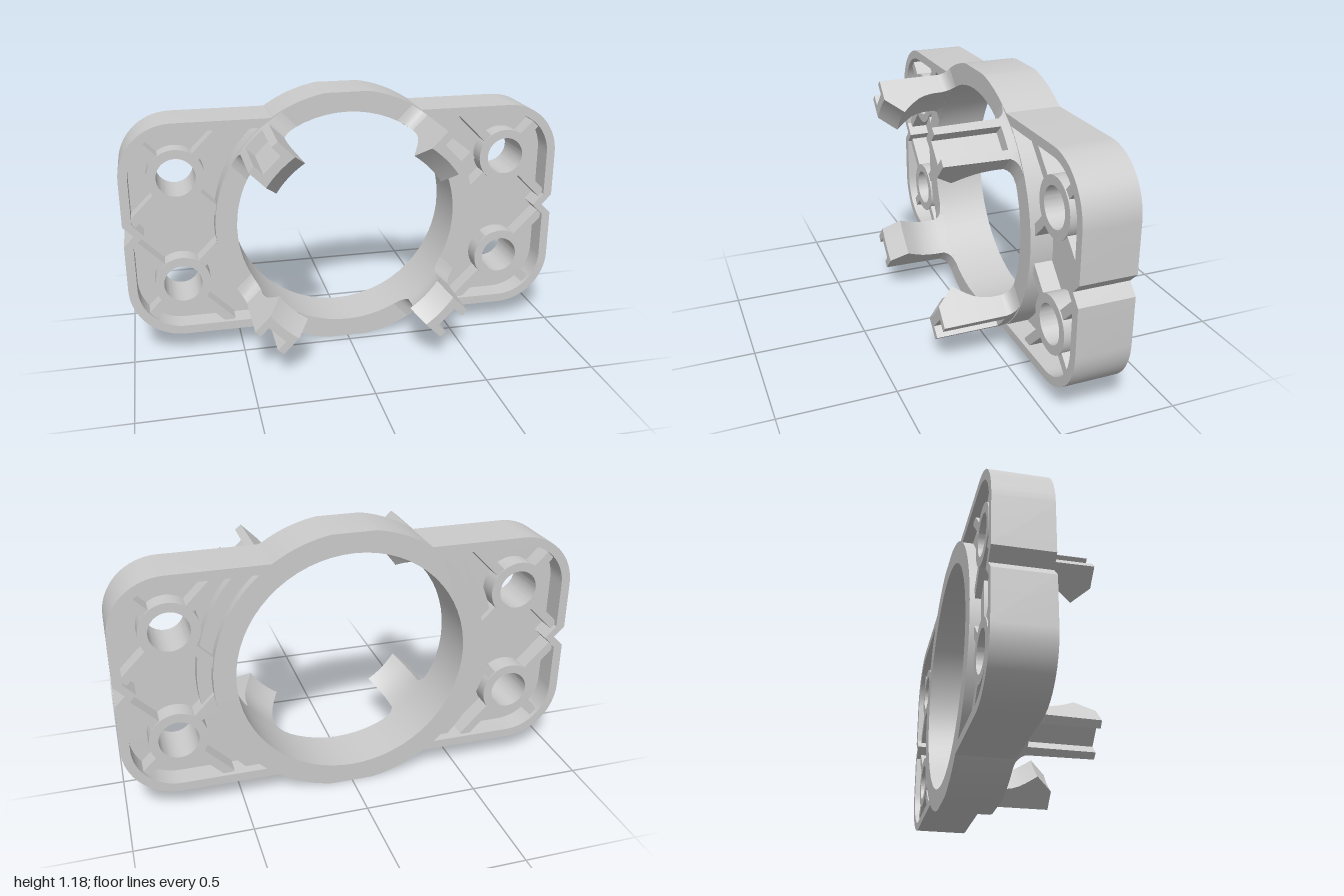
import * as THREE from 'three';
import { toCreasedNormals } from 'three/addons/utils/BufferGeometryUtils.js';

const material = new THREE.MeshStandardMaterial({ color: 0xcccccc });
const V = (x, y) => new THREE.Vector2(x, y);
const BACK = -0.28, FRONT = -0.04;        // depth range of the plate
const RING = 0.6, BORE = 0.505;           // ring radii
const BOSS_X = 0.757, BOSS_Y = 0.25;      // screw boss centre

function arc(cx, cy, r, a0, a1, n) {
  return Array.from({ length: n + 1 }, (_, i) => {
    const a = a0 + (a1 - a0) * i / n;
    return V(cx + r * Math.cos(a), cy + r * Math.sin(a));
  });
}
const circle = (x, y, r) => new THREE.Path(arc(x, y, r, 0, Math.PI * 2, 64).slice(0, -1));

function add(group, geometry, name) {
  const mesh = new THREE.Mesh(toCreasedNormals(geometry, 0.5), material);
  mesh.name = name;
  group.add(mesh);
  return mesh;
}

// extrude an outline between two depths
function slab(group, name, points, holes, z0, z1) {
  const shape = new THREE.Shape(points);
  shape.holes = holes;
  const geo = new THREE.ExtrudeGeometry(shape, { depth: z1 - z0, bevelEnabled: false });
  geo.translate(0, 0, z0);
  return add(group, geo, name);
}

// rounded plate merged with the flattened ring, V notch at each end
function outerOutline() {
  const quarter = [
    V(0.955, 0), V(1, 0.046),
    ...arc(0.76, 0.255, 0.24, 0, Math.PI / 2, 16),
    ...arc(0, 0, RING, Math.asin(0.495 / RING), Math.acos(0.095 / RING), 12),
  ];
  const upper = [...quarter, ...quarter.map(p => V(-p.x, p.y)).reverse()];
  return [...upper, ...upper.slice(1, -1).map(p => V(-p.x, -p.y))];
}

// recess between the rim and the ring on one side
function pocketOutline(side) {
  const upper = [
    V(0.91, 0), V(0.96, 0.052),
    ...arc(0.76, 0.255, 0.2, 0, Math.PI / 2, 16),
    ...arc(0, 0, RING, Math.asin(0.455 / RING), 0, 20),
  ];
  const all = [...upper, ...upper.slice(1, -1).map(p => V(p.x, -p.y)).reverse()];
  return all.map(p => V(side * p.x, p.y));
}

// clip cross-section: outer arc with a groove, then the inner arc; x is radial, y tangential
function clipSection(w, inner, grooved) {
  const outer = 0.596, floor = grooved ? 0.54 : null, g = 0.052;
  const on = (r, t) => V(Math.sqrt(r * r - t * t), t);
  const pts = [on(outer, -w), on(outer, -g)];
  for (const t of [-g, 0, g]) pts.push(floor ? V(floor, t) : on(outer, t * 0.99));
  pts.push(on(outer, g), on(outer, w));
  for (let i = 0; i <= 8; i++) pts.push(on(inner, w - 2 * w * i / 8));
  return pts;
}

// loft the clip along z: flared root, slim neck, inward hook with a chamfered tip
function clipGeometry() {
  const stations = [];
  for (const z of [-0.06, -0.04, -0.034, -0.025, -0.015, -0.004]) {
    const u = Math.min(1, Math.max(0, (z + 0.04) / 0.05));
    stations.push([z, 0.09 + 0.07 * (1 - Math.sqrt(1 - (1 - u) ** 2)), BORE, false]);
  }
  stations.push([0, 0.09, BORE, false], [0.002, 0.09, BORE, true]);
  for (const [z, r] of [[0.05, 0.504], [0.09, 0.497], [0.12, 0.486], [0.15, 0.468],
    [0.18, 0.446], [0.203, 0.428], [0.28, 0.5]]) stations.push([z, 0.09 - z * 0.015, r, true]);

  const loops = stations.map(([z, w, r, grooved]) => clipSection(w, r, grooved));
  const n = loops[0].length, pos = [], index = [];
  loops.forEach((loop, k) => loop.forEach(p => pos.push(p.x, p.y, stations[k][0])));
  for (let k = 0; k < loops.length - 1; k++) {
    for (let i = 0; i < n; i++) {
      const a = k * n + i, b = k * n + (i + 1) % n;
      index.push(a, b, b + n, a, b + n, a + n);
    }
  }
  const last = (loops.length - 1) * n;
  for (const [a, b, c] of THREE.ShapeUtils.triangulateShape(loops[loops.length - 1], [])) {
    index.push(last + a, last + b, last + c);
  }
  const geo = new THREE.BufferGeometry();
  geo.setAttribute('position', new THREE.Float32BufferAttribute(pos, 3));
  geo.setIndex(index);
  return geo;
}

export function createModel() {
  const model = new THREE.Group();
  model.name = 'ringBracket';
  model.position.y = 0.5925;

  // ring and rim in one piece
  slab(model, 'frame', outerOutline(),
    [circle(0, 0, BORE), new THREE.Path(pocketOutline(1)), new THREE.Path(pocketOutline(-1))], BACK, FRONT);

  for (const s of [1, -1]) {
    const wing = new THREE.Group();
    wing.name = s > 0 ? 'leftWing' : 'rightWing';
    model.add(wing);

    // thin web in the middle of the depth
    slab(wing, 'web', pocketOutline(s),
      [circle(s * BOSS_X, BOSS_Y, 0.085), circle(s * BOSS_X, -BOSS_Y, 0.085)], -0.18, -0.14);

    // stepped ledge around the back of the ring
    const a = Math.asin(0.455 / 0.66), b = Math.asin(0.455 / 0.595);
    slab(wing, 'backLedge', [...arc(0, 0, 0.66, -a, a, 24), ...arc(0, 0, 0.595, b, -b, 24)]
      .map(p => V(s * p.x, p.y)), [], -0.235, -0.16);

    for (const t of [1, -1]) {
      // screw boss
      slab(wing, 'screwBoss', arc(s * BOSS_X, t * BOSS_Y, 0.125, 0, Math.PI * 2, 64).slice(0, -1),
        [circle(s * BOSS_X, t * BOSS_Y, 0.085)], -0.265, -0.055);

      // four diagonal ribs: [x direction, y direction, reach from boss centre]
      for (const [dx, dy, reach] of [[1, 1, 0.21], [-1, 1, 0.3], [1, -1, 0.29], [-1, -1, 0.25]]) {
        const start = 0.115, mid = (start + reach) / 2 * Math.SQRT1_2;
        const rib = add(wing, new THREE.BoxGeometry(reach - start, 0.04, 0.2), 'rib');
        rib.position.set(s * (BOSS_X + dx * mid), t * (BOSS_Y + dy * mid), -0.16);
        rib.rotation.z = Math.atan2(t * dy, s * dx);
      }
    }
  }

  // four clips on the diagonals
  for (let i = 0; i < 4; i++) {
    add(model, clipGeometry(), 'clip').rotation.z = Math.PI / 4 + i * Math.PI / 2;
  }

  const root = new THREE.Group();
  root.add(model);
  return root;
}
